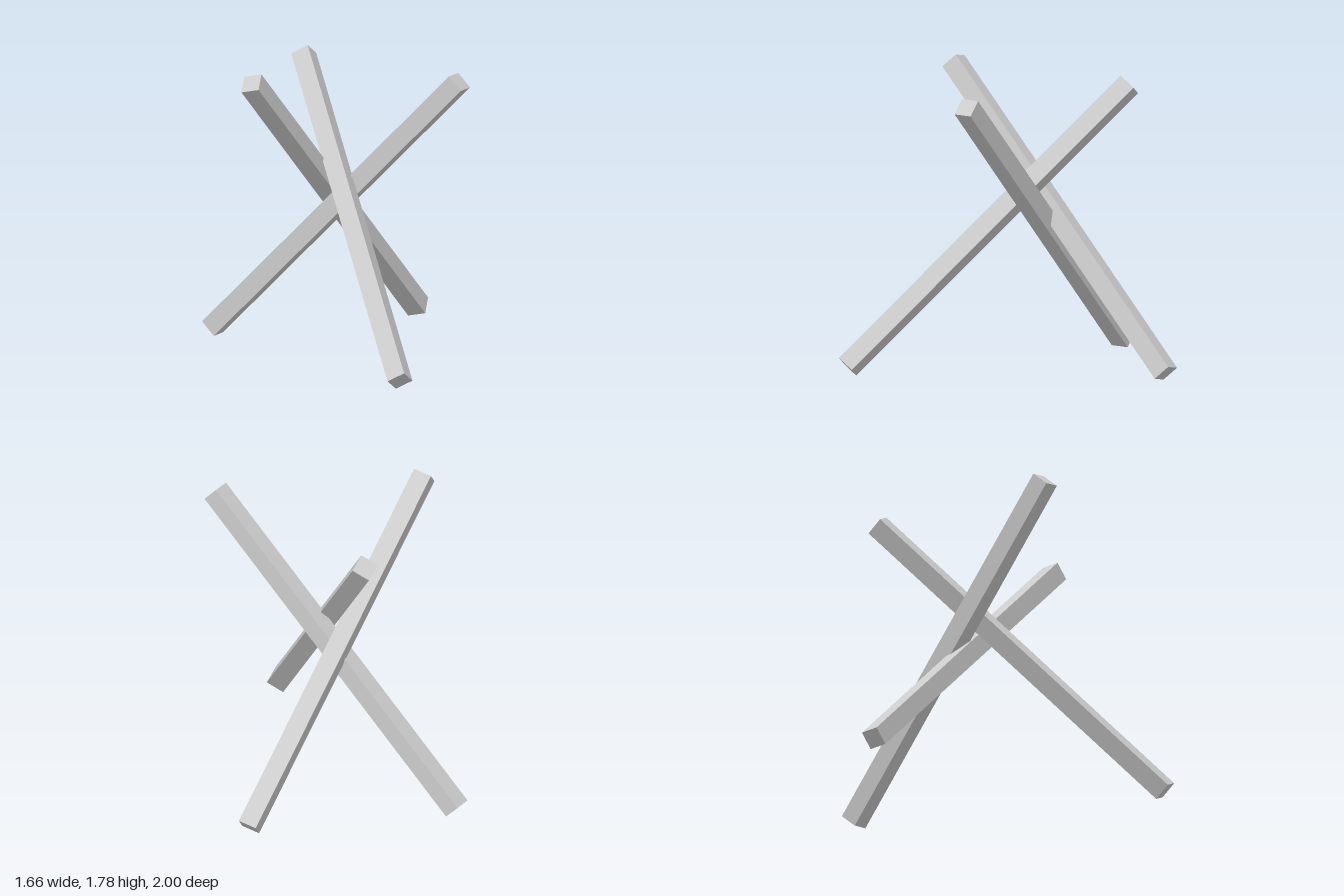
import * as THREE from 'three';

const SIDE = 0.112;

// Square beam between two end centres; edge is the direction of one side of its section
function beam(name, top, foot, edge) {
  const a = new THREE.Vector3(...top);
  const b = new THREE.Vector3(...foot);
  const along = a.clone().sub(b);
  const length = along.length();
  along.normalize();
  const across = new THREE.Vector3(...edge);
  across.addScaledVector(along, -across.dot(along)).normalize();
  const third = new THREE.Vector3().crossVectors(across, along);

  const mesh = new THREE.Mesh(
    new THREE.BoxGeometry(SIDE, length, SIDE),
    new THREE.MeshStandardMaterial({ color: 0xcccccc, flatShading: true })
  );
  mesh.name = name;
  mesh.quaternion.setFromRotationMatrix(new THREE.Matrix4().makeBasis(across, along, third));
  mesh.position.copy(a).add(b).multiplyScalar(0.5);
  return mesh;
}

export function createModel() {
  const group = new THREE.Group();
  group.name = 'crossedBeams';
  // Three beams leaning across each other near the middle
  group.add(
    beam('wideBeam', [-0.773, 1.735, 0.01], [0.773, 0.085, -0.58], [0.061, 0.023, 0.09]),
    beam('backFootBeam', [0.35, 1.702, 0.52], [-0.432, 0.045, -0.937], [0.099, 0, -0.053]),
    beam('frontFootBeam', [0.061, 1.674, -0.715], [-0.339, 0.07, 0.943], [0.07, 0.05, 0.07])
  );
  return group;
}
